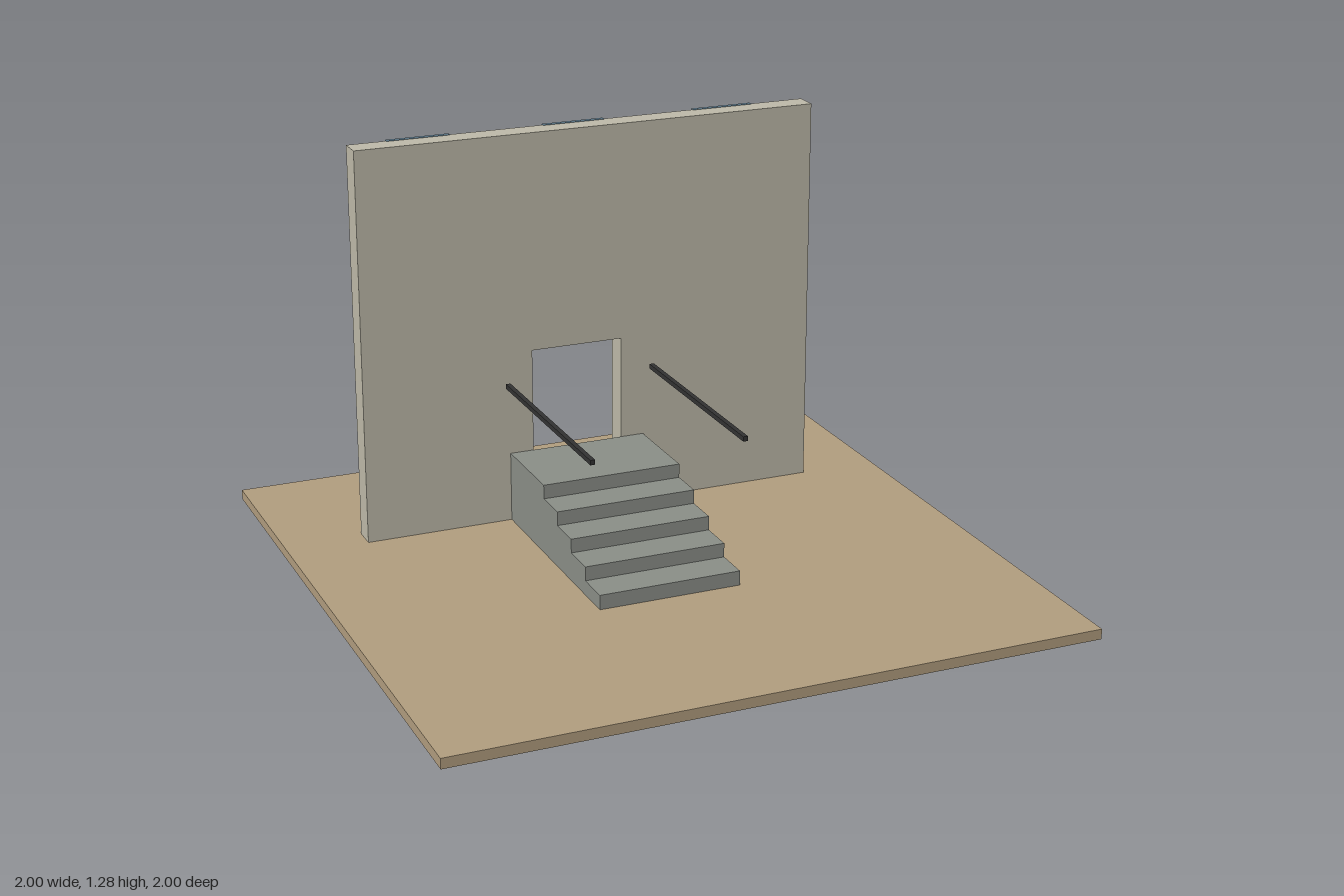
import * as THREE from 'three';

const mat = (color) => new THREE.MeshStandardMaterial({ color });

export function createModel() {
  const group = new THREE.Group();
  const ground = mat(0xb39f80), plaster = mat(0xc0bcab), stone = mat(0x8c9089);
  const glass = mat(0x6f8fa3), metal = mat(0x333333);

  const add = (name, geometry, material, x = 0, y = 0, z = 0) => {
    const mesh = new THREE.Mesh(geometry, material);
    mesh.name = name;
    mesh.position.set(x, y, z);
    group.add(mesh);
    return mesh;
  };
  const outline = (points) => new THREE.Shape(points.map(([x, y]) => new THREE.Vector2(x, y)));
  const extrude = (points, depth) =>
    new THREE.ExtrudeGeometry(outline(points), { depth, bevelEnabled: false });

  const floor = 0.032;

  // Ground slab
  add('groundSlab', new THREE.BoxGeometry(2, floor, 2), ground, 0, floor / 2, 0);

  // Wall with a doorway open down to the ground
  const wall = [
    [-0.75, floor], [-0.2, floor], [-0.2, 0.587], [0.098, 0.587],
    [0.098, floor], [0.75, floor], [0.75, 1.281], [-0.75, 1.281],
  ];
  add('wall', extrude(wall, 0.075), plaster, 0, 0, -0.5);

  // Solid stairs: stepped side profile (z, y) swept across the width
  const steps = 5, run = 0.1125, rise = 0.0445, front = 0.315, back = -0.425;
  const profile = [[back, floor], [front, floor]];
  for (let i = 0; i < steps; i++) {
    const top = 0.078 + i * rise;
    profile.push([front - i * run, top]);
    profile.push([i < steps - 1 ? front - (i + 1) * run : back, top]);
  }
  const stairs = add('stairs', extrude(profile.map(([z, y]) => [-z, y]).reverse(), 0.45), stone, -0.277);
  stairs.rotation.y = Math.PI / 2;

  // Handrails on both sides of the stairs
  for (const [name, x] of [['rightHandrail', -0.29], ['leftHandrail', 0.193]]) {
    add(name, new THREE.BoxGeometry(0.015, 0.015, 0.7), metal, x, 0.49, -0.05);
  }

  // Two rows of windows on the back of the wall
  for (const y of [0.847, 1.17]) {
    for (const x of [-0.527, -0.027, 0.473]) {
      add('window', new THREE.BoxGeometry(0.2, 0.225, 0.016), glass, x, y, -0.501);
    }
  }
  return group;
}
